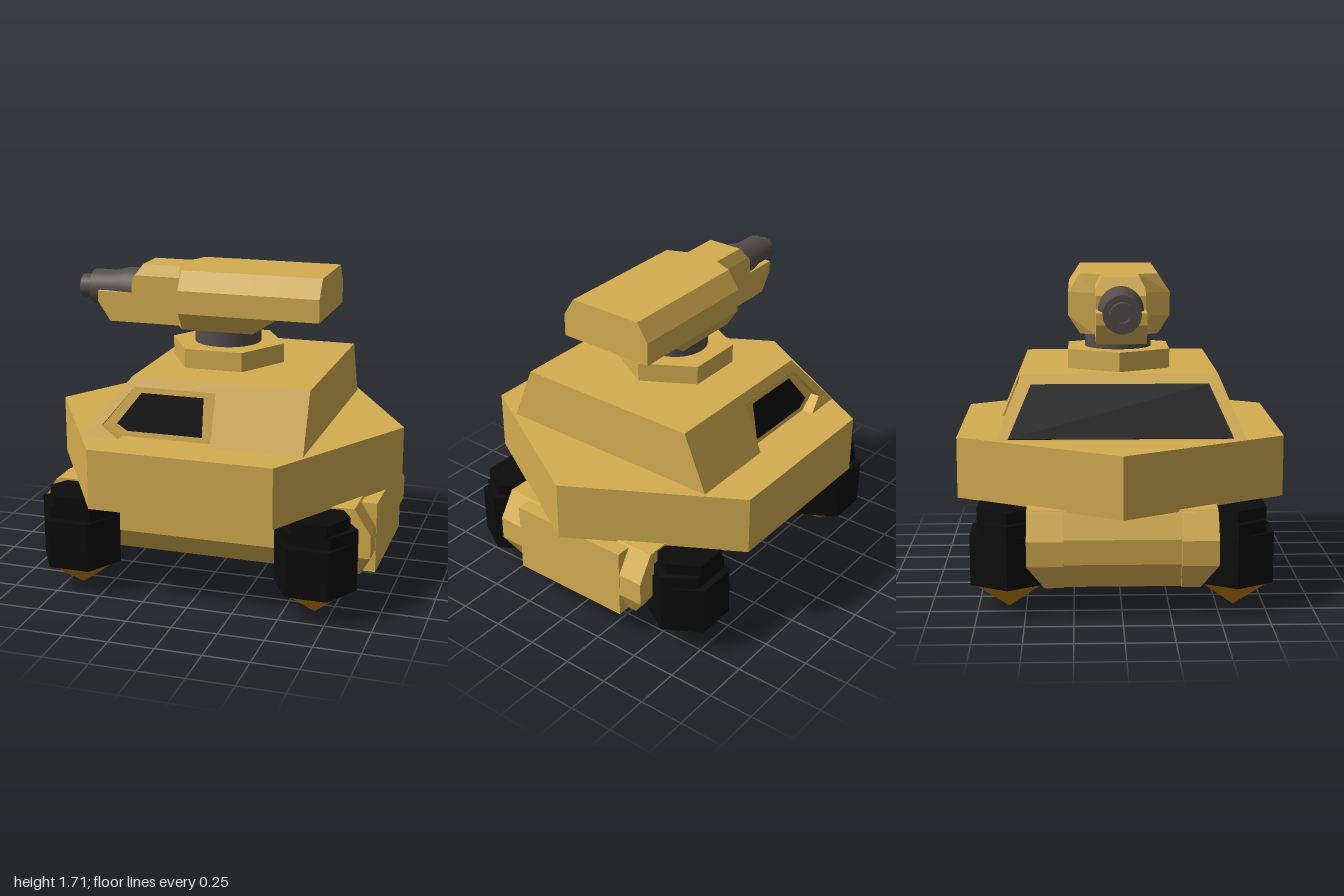
import * as THREE from 'three';
import { toCreasedNormals } from 'three/addons/utils/BufferGeometryUtils.js';

function paint(name, color) {
  const m = new THREE.MeshStandardMaterial({ color });
  m.name = name;
  return m;
}

function flat(geo) {
  const g = geo.index ? geo.toNonIndexed() : geo;
  g.computeVertexNormals();
  return g;
}

// Side profile in x/y, extruded between two z limits that may depend on height
function prism(points, zBack, zFront) {
  const shape = new THREE.Shape(points.map(([x, y]) => new THREE.Vector2(x, y)));
  const g = new THREE.ExtrudeGeometry(shape, { depth: 1, bevelEnabled: false });
  const p = g.attributes.position;
  for (let i = 0; i < p.count; i++) {
    p.setZ(i, p.getZ(i) > 0.5 ? zFront(p.getY(i)) : zBack(p.getY(i)));
  }
  return flat(g);
}
const symmetric = (points, half) => prism(points, y => -half(y), half);

// Six-sided prism or cone with corners pointing along x
function hex(rTop, rBottom, y0, y1) {
  const g = new THREE.CylinderGeometry(rTop, rBottom, y1 - y0, 6, 1, false, Math.PI / 6);
  return flat(g.translate(0, (y0 + y1) / 2, 0));
}

// Convex rings of [y, z] joined along x, closed at both ends
function loft(sections) {
  const pos = [];
  const put = (...corners) => corners.forEach(c => pos.push(...c));
  const rings = sections.map(([x, ring]) => ring.map(([y, z]) => [x, y, z]));
  const n = rings[0].length;
  for (let s = 0; s + 1 < rings.length; s++) {
    const a = rings[s], b = rings[s + 1];
    for (let i = 0; i < n; i++) {
      const j = (i + 1) % n;
      put(a[i], b[j], b[i], a[i], a[j], b[j]);
    }
  }
  const first = rings[0], last = rings[rings.length - 1];
  for (let i = 1; i + 1 < n; i++) {
    put(first[0], first[i + 1], first[i]);
    put(last[0], last[i], last[i + 1]);
  }
  const g = new THREE.BufferGeometry();
  g.setAttribute('position', new THREE.Float32BufferAttribute(pos, 3));
  g.computeVertexNormals();
  return g;
}

// Eight-cornered ring for the turret, counter-clockwise seen from +x
function turretRing(topHalf, half, lowHalf, low) {
  const right = [[low, -lowHalf], [1.485, -half], [1.61, -half], [1.71, -topHalf]];
  return [...right, ...right.map(([y, z]) => [y, -z]).reverse()];
}

export function createModel() {
  const model = new THREE.Group();
  model.name = 'turretVehicle';
  const tan = paint('sandArmour', 0xd4ad50);
  const black = paint('black', 0x0c0c0c);
  const grey = paint('gunMetal', 0x544e4a);
  const gold = paint('gold', 0xc2800c);

  const add = (name, geo, mat, parent = model) => {
    const mesh = new THREE.Mesh(geo, mat);
    mesh.name = name;
    parent.add(mesh);
    return mesh;
  };

  // Lower hull with tucked-in underside
  const hullHalf = y => (y < 0.2 ? 0.4 : 0.49);
  add('hullUnderside', symmetric([[-0.85, 0.16], [0.86, 0.16], [0.93, 0.29], [-0.9, 0.29]], hullHalf), tan);
  add('hull', symmetric([[-0.9, 0.29], [0.93, 0.29], [0.93, 0.42], [0.84, 0.56],
    [-0.83, 0.56], [-0.9, 0.42]], hullHalf), tan);
  add('rearPlate', new THREE.BoxGeometry(0.2, 0.39, 0.7).translate(0.832, 0.355, 0), tan);
  for (const s of [1, -1]) {
    const block = (name, pts) => {
      const inner = () => s * 0.3, outer = y => s * hullHalf(y);
      add(name, s > 0 ? prism(pts, inner, outer) : prism(pts, outer, inner), tan);
    };
    block('frontCornerLower', [[-0.87, 0.16], [-0.8, 0.16], [-0.8, 0.29], [-0.93, 0.29]]);
    block('frontCornerUpper', [[-0.93, 0.29], [-0.8, 0.29], [-0.8, 0.55], [-0.85, 0.55], [-0.93, 0.42]]);
  }

  // Hexagonal deck
  add('deck', hex(1, 1, 0.548, 0.875), tan);

  // Cabin with recessed side windows
  const cabinHalf = y => 0.655 - 0.13 * (y - 0.875) / 0.315;
  const recessHalf = y => 0.59 - 0.044 * (y - 0.875) / 0.265;
  const notch = [[-0.41, 0.875], [-0.51, 0.935], [-0.35, 1.14], [0.1, 1.14], [0.1, 0.875]];
  add('cabin', symmetric([[-0.62, 0.875], ...notch, [0.6, 0.875], [0.6, 1.19], [-0.37, 1.19]], cabinHalf), tan);
  add('windowRecess', symmetric(notch, recessHalf), tan);
  const pane = [[-0.44, 0.94], [-0.38, 0.905], [0.035, 0.905], [0.035, 1.11], [-0.31, 1.11]];
  add('leftWindow', prism(pane, recessHalf, y => recessHalf(y) + 0.006), black);
  add('rightWindow', prism(pane, y => -recessHalf(y) - 0.006, y => -recessHalf(y)), black);

  // Windscreen: thin slanted plate on the cabin's sloping face
  const screenHalf = y => 0.59 - 0.115 * (y - 0.882) / 0.256;
  add('windscreen', symmetric([[-0.614, 0.882], [-0.411, 1.138], [-0.416, 1.142], [-0.619, 0.886]], screenHalf), black);

  // Turret mount
  add('turretBase', hex(0.32, 0.32, 1.185, 1.295), tan);
  add('turretNeck', new THREE.CylinderGeometry(0.183, 0.183, 0.11, 32).translate(0, 1.34, 0), grey);

  // Turret body, its underside rising towards the back
  const full = turretRing(0.21, 0.275, 0.21, 1.385);
  const raised = turretRing(0.21, 0.275, 0.275, 1.485);
  add('turretBody', loft([
    [-0.245, turretRing(0.1, 0.13, 0.13, 1.385)],
    [-0.2, full], [0.2, full], [0.345, raised], [0.58, raised],
  ]), tan);

  // Gun cradle
  add('gunCradle', symmetric([[-0.65, 1.385], [-0.2, 1.385], [-0.2, 1.65], [-0.5, 1.65],
    [-0.52, 1.62], [-0.52, 1.55], [-0.72, 1.55], [-0.72, 1.49]], () => 0.13), tan);
  add('gunCradleTop', symmetric([[-0.5, 1.65], [-0.2, 1.65], [-0.2, 1.71], [-0.46, 1.71]],
    y => (y > 1.7 ? 0.1 : 0.13)), tan);

  // Gun barrel with hollow muzzle
  const barrel = [[0, 0.42], [0.118, 0.42], [0.118, 0.58], [0.098, 0.66], [0.098, 0.785],
    [0.065, 0.785], [0.065, 0.855], [0.035, 0.855], [0.035, 0.8], [0, 0.8]];
  const lathe = new THREE.LatheGeometry(barrel.map(([r, y]) => new THREE.Vector2(r, y)), 32);
  add('gunBarrel', toCreasedNormals(lathe.rotateZ(Math.PI / 2).translate(0, 1.55, 0), 0.6), grey);

  // Four hexagonal thruster pods with pointed gold tips
  for (const x of [-0.66, 0.66]) {
    for (const z of [-0.59, 0.59]) {
      const pod = new THREE.Group();
      pod.name = 'thrusterPod';
      pod.position.set(x, 0, z);
      add('podShell', hex(0.225, 0.225, 0.15, 0.42), black, pod);
      add('podShoulder', hex(0.225, 0.225, 0.42, 0.487).scale(1, 1, 0.8), black, pod);
      add('podCap', hex(0.182, 0.182, 0.48, 0.55), black, pod);
      add('podTip', hex(0.21, 0, 0, 0.155), gold, pod);
      model.add(pod);
    }
  }
  return model;
}
